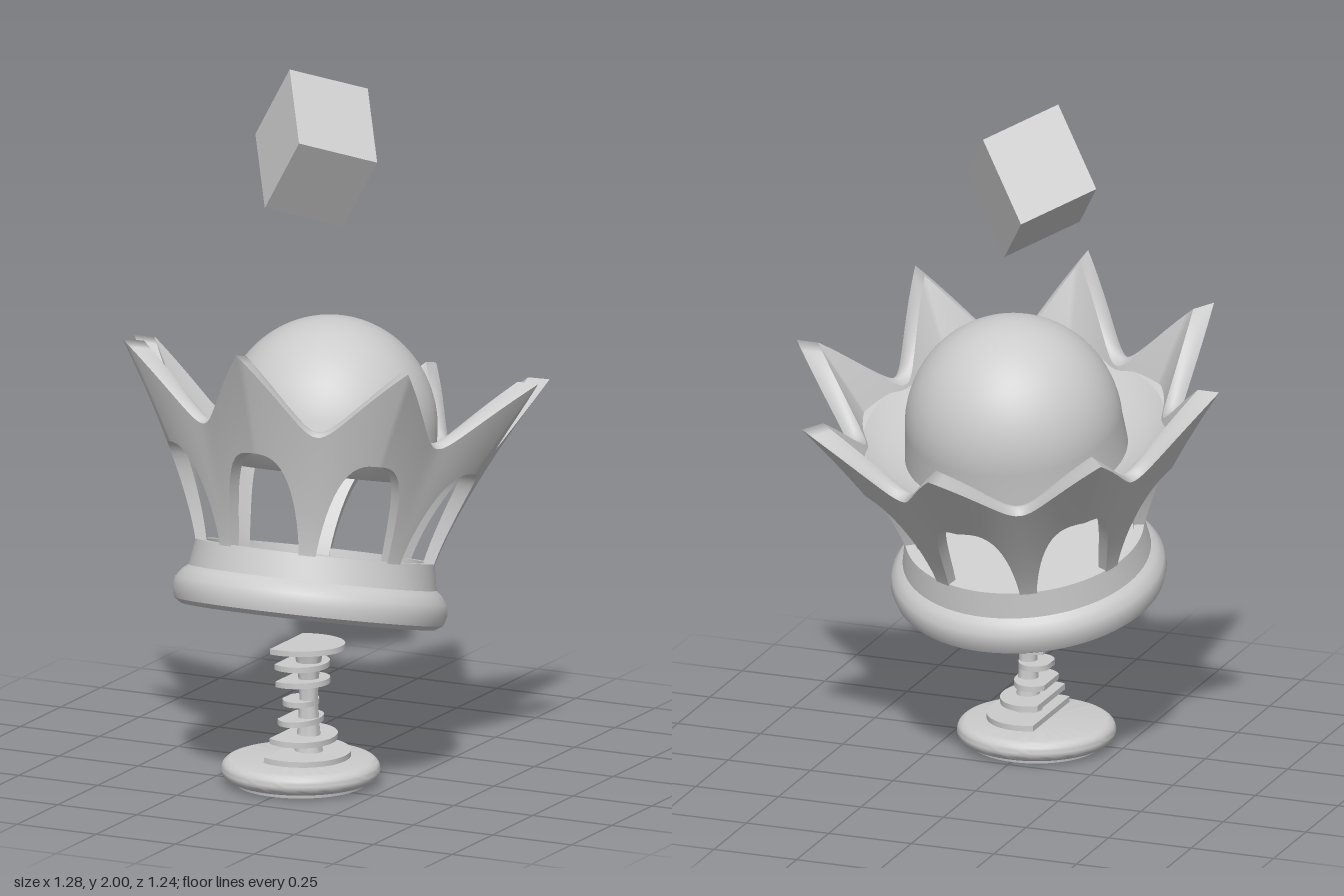
import * as THREE from 'three';
import { toCreasedNormals } from 'three/addons/utils/BufferGeometryUtils.js';
import { ParametricGeometry } from 'three/addons/geometries/ParametricGeometry.js';

const material = new THREE.MeshStandardMaterial({ color: 0xcccccc });

function add(parent, name, geometry, x = 0, y = 0, z = 0) {
  const mesh = new THREE.Mesh(geometry, material);
  mesh.name = name;
  mesh.position.set(x, y, z);
  parent.add(mesh);
  return mesh;
}

const lathe = (points, segments = 64) =>
  toCreasedNormals(new THREE.LatheGeometry(points.map(([x, y]) => new THREE.Vector2(x, y)), segments), 0.6);

// One eighth of the crown wall: a spike above an arch, with half a strut on each side
const HALF = Math.PI / 8, EDGE = 0.325, FOOT = 0.11;

function sectorAngle(s) {
  const a = Math.abs(s);
  const angle = a < 0.85 ? EDGE * Math.sin((a / 0.85) * Math.PI / 2) : EDGE + (HALF - EDGE) * (a - 0.85) / 0.15;
  return Math.sign(s) * angle;
}

// 0 in the valley between spikes, 1 on the spike ridge, rounded at the valley
function ridge(angle) {
  const s = 1 - Math.abs(angle) / HALF;
  return (Math.sqrt(s * s + 0.03) - Math.sqrt(0.03)) / (Math.sqrt(1.03) - Math.sqrt(0.03));
}

const spikeTop = (angle) => 0.465 + 0.21 * Math.pow(ridge(angle), 1.15);

function archTop(angle) {
  const u = Math.min(1, Math.abs(angle) / EDGE);
  return FOOT + 0.29 * Math.pow(Math.max(0, 1 - u ** 3), 0.8);
}

function wallPoint(angle, h, inner, target) {
  const k = Math.max(0, h - 0.1) / 0.575;
  let r = (0.335 + 0.305 * Math.pow(k, 1.25)) * (1 - 0.11 * k * (1 - ridge(angle)));
  if (inner) r -= 0.03 + 0.035 * k;
  return target.set(r * Math.sin(angle), h, r * Math.cos(angle));
}

// The four faces of the wall: outside, rounded top edge, inside, arch edge
const wallCorners = [[0, false], [1, false], [1, true], [0, true]];

function wallFace(i) {
  const [fromTop, fromInner] = wallCorners[i], [toTop, toInner] = wallCorners[(i + 1) % 4];
  const a = new THREE.Vector3(), b = new THREE.Vector3();
  return new ParametricGeometry((u, v, target) => {
    const angle = sectorAngle(u * 2 - 1), low = archTop(angle), high = spikeTop(angle);
    if (fromInner === toInner) {
      const t = fromTop + (toTop - fromTop) * v;
      wallPoint(angle, low + (high - low) * t, fromInner, target);
    } else {
      const h = fromTop ? high : low;
      target.lerpVectors(wallPoint(angle, h, fromInner, a), wallPoint(angle, h, toInner, b), v);
      if (fromTop) target.y += 0.06 * v * (1 - v) * (1 - ridge(angle));
    }
  }, 40, i % 2 ? 6 : 14);
}

function buildCrown() {
  const crown = new THREE.Group();
  crown.name = 'crown';
  crown.position.set(0, 0.53, 0.16);
  crown.rotation.x = -0.238;

  const faces = [0, 1, 2, 3].map(wallFace);
  for (let i = 0; i < 8; i++) {
    const sector = new THREE.Group();
    sector.name = 'crownSpike';
    sector.rotation.y = i * Math.PI / 4;
    faces.forEach((geometry) => add(sector, 'spikeWall', geometry));
    crown.add(sector);
  }

  // Band with a rolled rim, and the floor inside it
  add(crown, 'band', lathe([[0.31, 0.13], [0.31, 0], [0.345, -0.046], [0.362, -0.055], [0.382, -0.042],
    [0.391, -0.012], [0.386, 0.018], [0.368, 0.042], [0.352, 0.055], [0.339, 0.13], [0.31, 0.13]], 72));
  add(crown, 'crownFloor', new THREE.CylinderGeometry(0.315, 0.315, 0.02, 64), 0, 0.08, 0);

  // Sloping collar that closes the gap between wall and dome
  add(crown, 'collar', lathe([[0.305, 0.36], [0.345, 0.355], [0.4, 0.395], [0.44, 0.44], [0.462, 0.462],
    [0.43, 0.465], [0.375, 0.422], [0.305, 0.395], [0.305, 0.36]], 72));

  // Dome with a recessed underside
  const dome = [[0, -0.08], [0.285, -0.08], [0.29, -0.12], [0.32, -0.12]];
  for (let i = 0; i <= 24; i++) {
    const a = (i / 24) * Math.PI / 2;
    dome.push([i === 24 ? 0 : 0.308 * Math.cos(a), 0.32 * Math.sin(a)]);
  }
  add(crown, 'dome', lathe(dome), 0, 0.48, 0);
  return crown;
}

// Stem plate: a disc cut off flat on its right side
function plateGeometry(radius, reach) {
  const cut = Math.acos(-0.045 / reach);
  const shape = new THREE.Shape();
  for (let i = 0; i <= 28; i++) {
    const a = -cut + (2 * cut * i) / 28;
    shape[i ? 'lineTo' : 'moveTo'](reach * Math.cos(a), radius * Math.sin(a));
  }
  shape.closePath();
  const geometry = new THREE.ExtrudeGeometry(shape, { depth: 0.016, bevelEnabled: false });
  return toCreasedNormals(geometry.rotateX(-Math.PI / 2), 0.6);
}

function buildStand() {
  const stand = new THREE.Group();
  stand.name = 'stand';
  stand.position.set(-0.005, 0, 0.21);

  // Round foot
  const foot = [[0, 0], [0.185, 0], [0.187, 0.012]];
  for (let i = 0; i <= 12; i++) {
    const a = -Math.PI / 2 + (i / 12) * Math.PI;
    foot.push([0.195 + 0.03 * Math.cos(a), 0.042 + 0.03 * Math.sin(a)]);
  }
  foot.push([0, 0.072]);
  add(stand, 'foot', lathe(foot));

  // Slim core and stacked plates
  add(stand, 'stemCore', lathe([[0.045, 0.07], [0.036, 0.12], [0.03, 0.18], [0.026, 0.25],
    [0.03, 0.32], [0.038, 0.37], [0.045, 0.4], [0, 0.4]], 24), 0.025, 0, 0);
  // height, half width in z, reach in x, tilt
  const plates = [
    [0.082, 0.15, 0.14, -0.03], [0.13, 0.12, 0.1, -0.04], [0.178, 0.085, 0.06, 0.02],
    [0.23, 0.06, 0.05, 0], [0.29, 0.08, 0.085, 0.05], [0.34, 0.09, 0.08, 0], [0.392, 0.11, 0.13, 0.03],
  ];
  for (const [y, radius, reach, tilt] of plates) {
    add(stand, 'stemPlate', plateGeometry(radius, reach), 0, y, 0).rotation.z = tilt;
  }
  return stand;
}

export function createModel() {
  const model = new THREE.Group();
  model.name = 'floatingCrown';
  model.add(buildStand(), buildCrown());

  // Slightly skewed cube hovering above the dome, set by its three edge directions
  const edges = new THREE.Matrix4().makeBasis(
    new THREE.Vector3(-0.116, 0.164, -0.169),
    new THREE.Vector3(0.164, -0.074, -0.164),
    new THREE.Vector3(-0.138, -0.217, -0.058),
  );
  add(model, 'cube', new THREE.BoxGeometry(1, 1, 1).applyMatrix4(edges), -0.098, 1.772, -0.069);
  return model;
}
